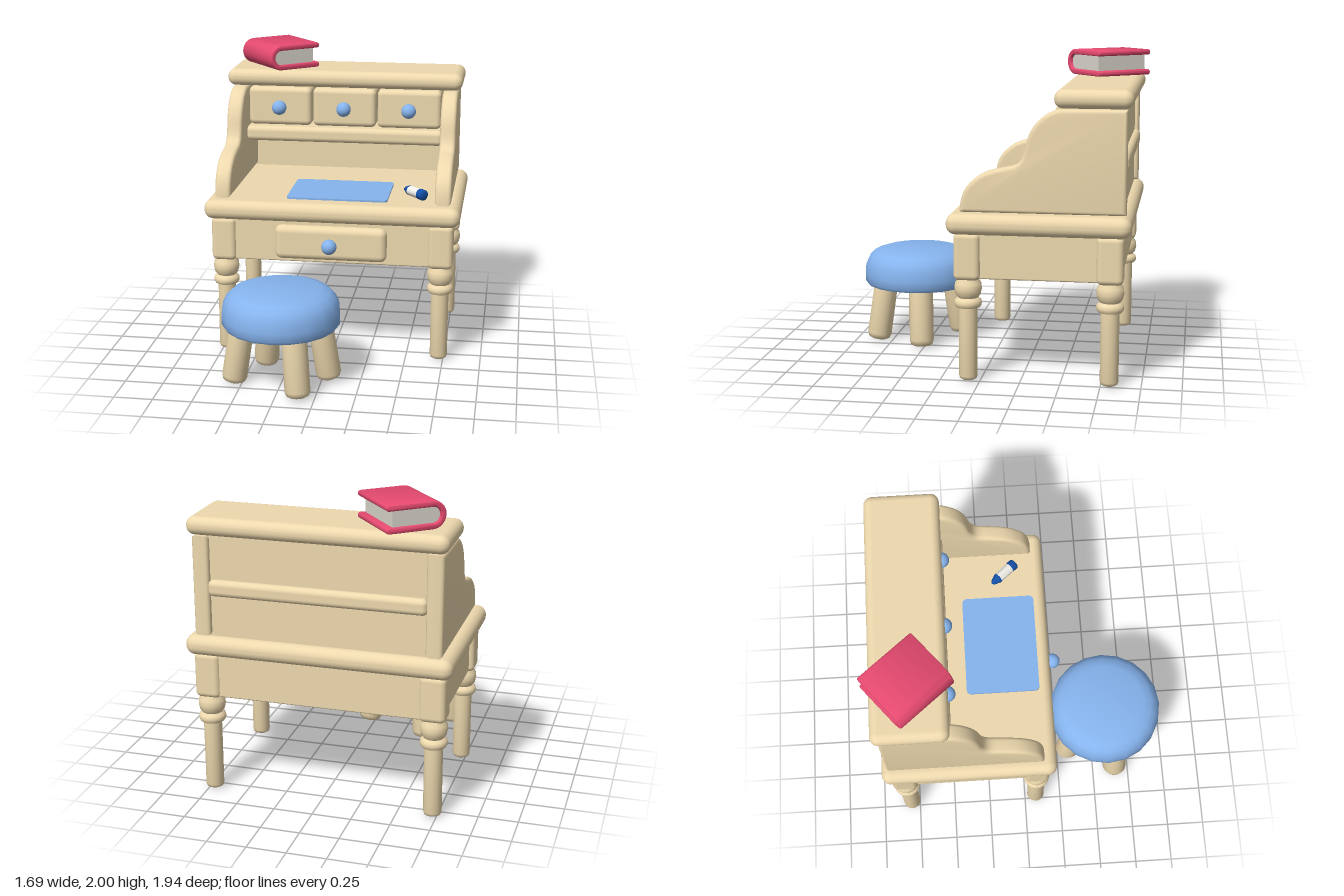
import * as THREE from 'three';
import { toCreasedNormals } from 'three/addons/utils/BufferGeometryUtils.js';
import { RoundedBoxGeometry } from 'three/addons/geometries/RoundedBoxGeometry.js';

const paint = (color) => new THREE.MeshStandardMaterial({ color });
const wood = paint(0xeed9ae), blue = paint(0x86b4ee), pink = paint(0xe64a70);
const paper = paint(0xdad6cd), white = paint(0xf0eee8), navy = paint(0x1450a8);

function add(parent, name, geometry, material, x = 0, y = 0, z = 0) {
  const mesh = new THREE.Mesh(geometry, material);
  mesh.name = name;
  mesh.position.set(x, y, z);
  parent.add(mesh);
  return mesh;
}

// Rounded box given by its limits on each axis
function block(parent, name, [x0, x1], [y0, y1], [z0, z1], radius, material = wood) {
  const geometry = new RoundedBoxGeometry(x1 - x0, y1 - y0, z1 - z0, 4, radius);
  return add(parent, name, geometry, material, (x0 + x1) / 2, (y0 + y1) / 2, (z0 + z1) / 2);
}

// Extrusion whose bevel stays inside the outline, centred on its depth
function slab(shape, depth, bevel, curveSegments = 12) {
  const geometry = new THREE.ExtrudeGeometry(shape, {
    depth: depth - 2 * bevel, curveSegments, bevelEnabled: bevel > 0,
    bevelThickness: bevel, bevelSize: bevel, bevelOffset: -bevel, bevelSegments: 4,
  });
  geometry.translate(0, 0, bevel - depth / 2);
  return toCreasedNormals(geometry, 0.7);
}

function lathe(points, sides = 24, crease = 0.8) {
  return toCreasedNormals(new THREE.LatheGeometry(points.map(([r, y]) => new THREE.Vector2(r, y)), sides), crease);
}

const knob = (parent, x, y, z) => add(parent, 'knob', new THREE.SphereGeometry(0.05, 24, 16), blue, x, y, z);

function makeDesk() {
  const desk = new THREE.Group();
  desk.name = 'desk';
  block(desk, 'deskTop', [-0.845, 0.845], [0.94, 1.07], [-0.93, 0.2], 0.06);
  block(desk, 'apron', [-0.77, 0.77], [0.66, 0.95], [-0.865, 0.135], 0.01);
  block(desk, 'wideDrawer', [-0.37, 0.37], [0.685, 0.915], [0.08, 0.185], 0.045);
  knob(desk, 0, 0.8, 0.23);

  // Turned legs below square posts
  const profile = [[0, 0.01], [0.04, 0.01], [0.053, 0.018], [0.058, 0.035], [0.058, 0.475],
    [0.075, 0.475], [0.084, 0.488], [0.086, 0.503], [0.082, 0.52], [0.068, 0.53],
    [0.063, 0.535], [0.078, 0.555], [0.086, 0.59], [0.082, 0.625], [0.065, 0.65], [0.06, 0.68]];
  const legGeometry = lathe(profile);
  for (const x of [-0.72, 0.72]) for (const z of [0.075, -0.803]) {
    add(desk, 'turnedLeg', legGeometry, wood, x, 0, z);
    block(desk, 'legPost', [x - 0.082, x + 0.082], [0.65, 0.95], [z - 0.082, z + 0.082], 0.035);
  }

  // Sloping side panels, drawn with -z to the right
  const side = new THREE.Shape();
  side.moveTo(0.895, 1.075);
  side.lineTo(0.895, 1.71);
  side.lineTo(0.5, 1.71);
  side.bezierCurveTo(0.4, 1.695, 0.31, 1.62, 0.285, 1.49);
  side.bezierCurveTo(0.265, 1.39, 0.24, 1.365, 0.17, 1.355);
  side.bezierCurveTo(0.08, 1.335, 0.02, 1.325, -0.04, 1.27);
  side.bezierCurveTo(-0.1, 1.22, -0.115, 1.16, -0.12, 1.075);
  const sideGeometry = slab(side, 0.106, 0.025);
  for (const x of [-0.728, 0.728]) {
    add(desk, 'sidePanel', sideGeometry, wood, x).rotation.y = Math.PI / 2;
  }

  // Hutch
  block(desk, 'backPanel', [-0.7, 0.7], [1.05, 1.73], [-0.865, -0.82], 0.005);
  block(desk, 'hutchTop', [-0.81, 0.81], [1.715, 1.83], [-0.93, -0.455], 0.055);
  block(desk, 'shelf', [-0.685, 0.685], [1.33, 1.435], [-0.905, -0.46], 0.035);
  for (const x of [-0.448, 0, 0.448]) {
    block(desk, 'smallDrawer', [x - 0.219, x + 0.219], [1.44, 1.705], [-0.84, -0.495], 0.035);
    knob(desk, x, 1.57, -0.465);
  }
  return desk;
}

function makeStool() {
  const stool = new THREE.Group();
  stool.name = 'stool';
  stool.position.set(-0.255, 0, 0.585);
  const seat = [[0, 0.39], [0.365, 0.39], [0.379, 0.41], [0.38, 0.46], [0.375, 0.525],
    [0.352, 0.575], [0.315, 0.61], [0.255, 0.63], [0, 0.632]];
  add(stool, 'seat', lathe(seat, 20, 0.9), blue);

  // Splayed round legs
  const legGeometry = lathe([[0, 0], [0.05, 0], [0.072, 0.012], [0.082, 0.04], [0.08, 0.45], [0, 0.45]], 20);
  const up = new THREE.Vector3(0, 1, 0);
  for (const [x, z] of [[-0.3, 0.07], [-0.15, -0.265], [0.15, 0.265], [0.3, -0.07]]) {
    const leg = add(stool, 'stoolLeg', legGeometry, wood, x, 0.01, z);
    leg.quaternion.setFromUnitVectors(up, new THREE.Vector3(-x * 0.5, 1, -z * 0.5).normalize());
  }
  return stool;
}

function makeBook() {
  const book = new THREE.Group();
  book.name = 'book';
  book.position.set(-0.475, 1.915, -0.69);
  book.rotation.y = 0.69;

  // Cover wraps round the spine at -x and is open at +x
  const cover = new THREE.Shape();
  cover.moveTo(0.175, 0.085);
  cover.lineTo(-0.105, 0.085);
  cover.absarc(-0.105, 0, 0.085, Math.PI / 2, Math.PI * 1.5, false);
  cover.lineTo(0.175, -0.085);
  cover.absarc(0.175, -0.067, 0.018, -Math.PI / 2, Math.PI / 2, false);
  cover.lineTo(-0.105, -0.049);
  cover.absarc(-0.105, 0, 0.049, Math.PI * 1.5, Math.PI / 2, true);
  cover.lineTo(0.175, 0.049);
  cover.absarc(0.175, 0.067, 0.018, -Math.PI / 2, Math.PI / 2, false);
  add(book, 'cover', slab(cover, 0.42, 0.01), pink);

  const pages = new THREE.Shape();
  pages.moveTo(0.15, 0.052);
  pages.lineTo(-0.105, 0.052);
  pages.absarc(-0.105, 0, 0.052, Math.PI / 2, Math.PI * 1.5, false);
  pages.lineTo(0.15, -0.052);
  add(book, 'pages', slab(pages, 0.38, 0), paper);
  return book;
}

function makeCrayon() {
  const crayon = new THREE.Group();
  crayon.name = 'crayon';
  crayon.position.set(0.6, 1.113, 0.01);
  crayon.quaternion.setFromUnitVectors(new THREE.Vector3(0, 1, 0), new THREE.Vector3(-0.135, 0, -0.155).normalize());
  add(crayon, 'crayonEnd', lathe([[0, 0], [0.028, 0], [0.036, 0.008], [0.036, 0.045], [0, 0.045]]), navy);
  add(crayon, 'crayonBody', lathe([[0, 0.04], [0.034, 0.04], [0.034, 0.15], [0, 0.15]]), white);
  add(crayon, 'crayonTip', lathe([[0, 0.148], [0.034, 0.148], [0.034, 0.158], [0.016, 0.203], [0.009, 0.209], [0, 0.21]]), navy);
  return crayon;
}

// Thin writing mat with rounded corners
function makeMat() {
  const w = 0.333, h = 0.237, r = 0.03;
  const shape = new THREE.Shape();
  shape.absarc(w - r, h - r, r, 0, Math.PI / 2, false);
  shape.absarc(-w + r, h - r, r, Math.PI / 2, Math.PI, false);
  shape.absarc(-w + r, -h + r, r, Math.PI, Math.PI * 1.5, false);
  shape.absarc(w - r, -h + r, r, Math.PI * 1.5, Math.PI * 2, false);
  const mat = new THREE.Mesh(slab(shape, 0.012, 0), blue);
  mat.name = 'writingMat';
  mat.position.set(0.033, 1.091, -0.118);
  mat.rotation.x = -Math.PI / 2;
  return mat;
}

export function createModel() {
  const model = new THREE.Group();
  model.name = 'deskAndStool';
  model.add(makeDesk(), makeStool(), makeBook(), makeCrayon(), makeMat());
  return model;
}
